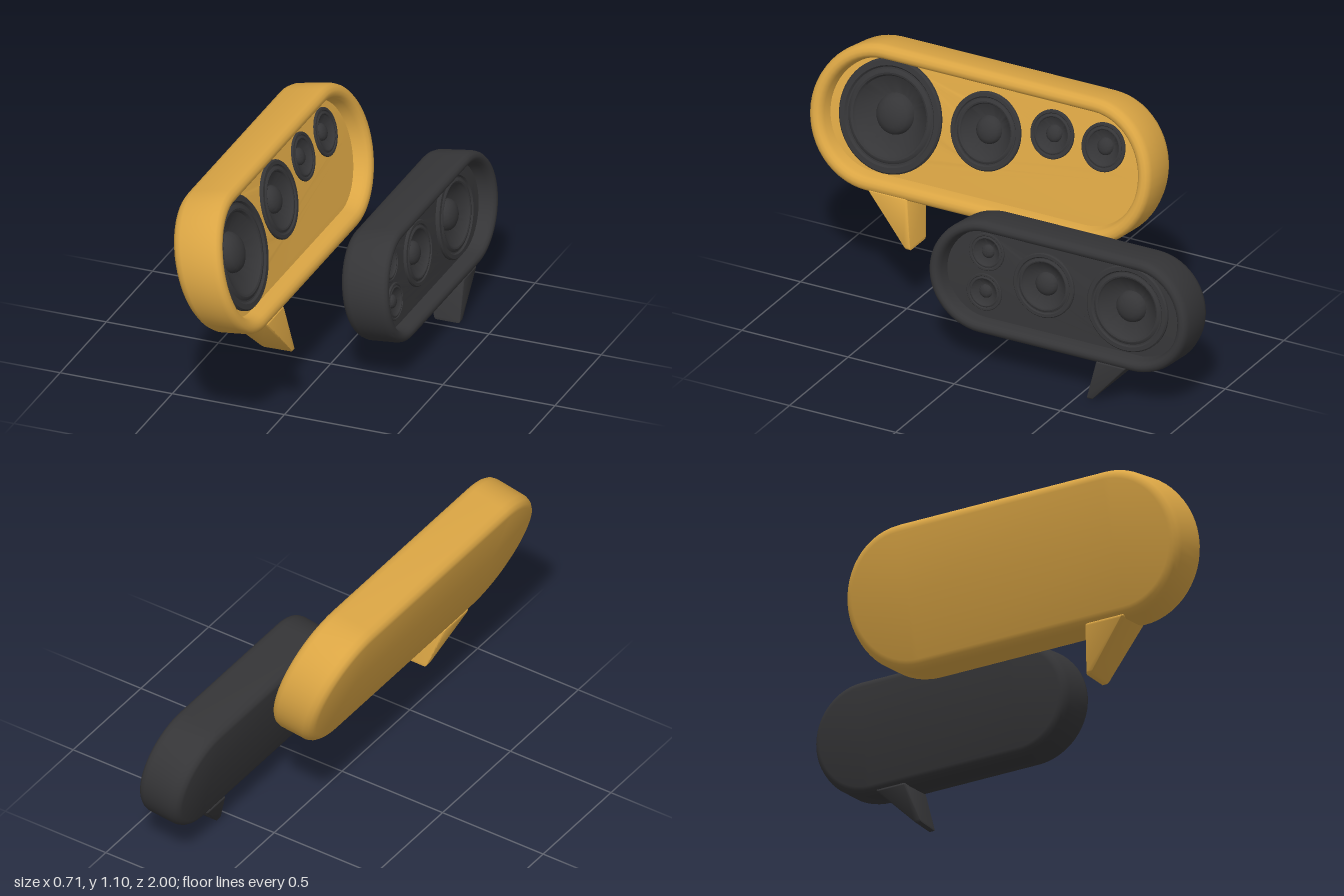
import * as THREE from 'three';
import { mergeVertices, toCreasedNormals } from 'three/addons/utils/BufferGeometryUtils.js';
import { RoundedBoxGeometry } from 'three/addons/geometries/RoundedBoxGeometry.js';

const DEPTH = 0.19;   // nominal cabinet depth before leaning
const PANEL = 0.64;   // panel position, as a share of the depth

const yellow = new THREE.MeshStandardMaterial({ color: 0xdaa544 });
yellow.name = 'mustard yellow';
const charcoal = new THREE.MeshStandardMaterial({ color: 0x353537 });
charcoal.name = 'charcoal';

const lerp = THREE.MathUtils.lerp;

// Moves every vertex by a rule, then rebuilds the normals
function reshape(geometry, rule, crease = 0.7) {
  geometry.deleteAttribute('normal');
  geometry.deleteAttribute('uv');
  const p = geometry.attributes.position;
  const v = new THREE.Vector3();
  for (let i = 0; i < p.count; i++) {
    rule(v.fromBufferAttribute(p, i));
    p.setXYZ(i, v.x, v.y, v.z);
  }
  return toCreasedNormals(mergeVertices(geometry, 1e-5), crease);
}

// Loops round a capsule outline, following a cross-section of [inset, depth share]
function capsuleLoft(profile, height, z0, z1) {
  const R = height / 2, half = 28, n = 2 * (half + 1);
  const pos = [], index = [];
  profile.forEach(([inset, s]) => {
    for (let j = 0; j < n; j++) {
      const second = j > half;
      const a = -Math.PI / 2 + Math.PI * (second ? j - 1 : j) / half;
      const r = R - inset;
      pos.push(s * DEPTH, R + r * Math.sin(a), (second ? z0 + R : z1 - R) + r * Math.cos(a));
    }
  });
  for (let i = 0; i < profile.length - 1; i++) {
    for (let j = 0; j < n; j++) {
      const k = (j + 1) % n;
      const a = i * n + j, b = a + n, c = i * n + k, d = c + n;
      index.push(a, b, c, b, d, c);
    }
  }
  const g = new THREE.BufferGeometry();
  g.setAttribute('position', new THREE.Float32BufferAttribute(pos, 3));
  g.setIndex(index);
  return g;
}

// Capsule panel with a round opening for each driver
function panelGeometry(height, z0, z1, inset, holes) {
  const R = height / 2, r = R - inset;
  const shape = new THREE.Shape();
  shape.absarc(-z0 - R, R, r, -Math.PI / 2, Math.PI / 2, false);
  shape.absarc(-z1 + R, R, r, Math.PI / 2, Math.PI * 1.5, false);
  for (const h of holes) {
    const hole = new THREE.Path();
    hole.absarc(-h.z, h.h, h.r * 0.92, 0, Math.PI * 2, true);
    shape.holes.push(hole);
  }
  return new THREE.ShapeGeometry(shape, 32).rotateY(Math.PI / 2).translate(PANEL * DEPTH, 0, 0);
}

// Driver section in units of its radius: frame, surround, cone, dust cap
const driverProfile = [
  [1, -0.05], [1, 0.03], [0.97, 0.06], [0.88, 0.06], [0.85, 0.025], [0.82, 0.025],
  [0.79, 0.05], [0.755, 0.058], [0.72, 0.045], [0.69, 0], [0.38, -0.16], [0.36, -0.16],
  [0.345, -0.1], [0.29, -0.035], [0.2, 0.01], [0.1, 0.032], [0, 0.04]
];

function driverGeometry({ z, h, r }) {
  const points = driverProfile.map(([x, y]) => new THREE.Vector2(x * r, y * r));
  return new THREE.LatheGeometry(points, 56)
    .rotateZ(-Math.PI / 2)
    .translate(PANEL * DEPTH + 0.002, h, z);
}

function buildSpeaker(o) {
  const group = new THREE.Group();
  group.name = o.name;
  const { backBottom: bb, frontBottom: bf, backTop: bt, frontTop: ft, height, z0, z1, k } = o;

  // Leans the cabinet back between its four section corners, with a slightly bowed front
  const at = (s, t, axis) => lerp(lerp(bb[axis], bf[axis], s), lerp(bt[axis], ft[axis], s), t);
  const lean = v => {
    const s = v.x / DEPTH, t = v.y / height;
    v.x = at(s, t, 0) + 0.04 * s * t * (1 - t);
    v.y = at(s, t, 1);
  };
  const add = (name, geometry, material) => {
    const mesh = new THREE.Mesh(geometry, material);
    mesh.name = name;
    group.add(mesh);
  };

  // Cabinet shell: flat back, rounded edges, raised rim and inner wall
  const shell = [
    [height / 2, 0], [0.04 * k, 0], [0.022 * k, 0.02], [0.008 * k, 0.09], [0, 0.2], [0, 0.84],
    [0.005 * k, 0.93], [0.015 * k, 0.98], [0.03 * k, 1], [0.045 * k, 0.985],
    [0.056 * k, 0.93], [0.062 * k, 0.85], [0.068 * k, PANEL - 0.01]
  ];
  add('cabinet', reshape(capsuleLoft(shell, height, z0, z1), lean), o.material);

  // Drivers are placed by their height above the floor
  const low = at(PANEL, 0, 1), high = at(PANEL, 1, 1);
  const drivers = o.drivers.map(([name, z, y, r]) =>
    ({ name, z, r, h: height * (y - low) / (high - low) }));
  add('frontPanel', reshape(panelGeometry(height, z0, z1, 0.066 * k, drivers), lean), o.material);
  for (const d of drivers) add(d.name, reshape(driverGeometry(d), lean, 0.55), charcoal);

  // Pointed tail under the cabinet
  const tail = v => {
    const s = v.x + 0.5, f = v.y + 0.5, w = v.z + 0.5;
    const topX = at(lerp(0.01, 0.98, s), 0.02, 0), topY = at(s, 0.02, 1);
    v.set(
      lerp(lerp(o.tipBack[0], o.tipFront[0], s), topX, f),
      lerp(lerp(o.tipBack[1], o.tipFront[1], s), topY, f),
      lerp(lerp(o.tipZ[0], o.tipZ[1], w), lerp(o.baseZ[0], o.baseZ[1], w), f));
  };
  add('tail', reshape(new RoundedBoxGeometry(1, 1, 1, 4, 0.06), tail), o.material);
  return group;
}

export function createModel() {
  const model = new THREE.Group();
  model.name = 'speechBubbleSpeakers';

  model.add(buildSpeaker({
    name: 'largeYellowSpeaker', material: yellow, height: 0.61, z0: -0.6, z1: 1, k: 1,
    backBottom: [-0.172, 0.475], frontBottom: [0.006, 0.495],
    backTop: [-0.366, 1.06], frontTop: [-0.152, 1.105],
    drivers: [
      ['woofer', 0.65, 0.795, 0.238], ['midrange', 0.207, 0.83, 0.163],
      ['tweeterOne', -0.096, 0.884, 0.101], ['tweeterTwo', -0.337, 0.884, 0.101]
    ],
    baseZ: [0.5, 0.69], tipZ: [0.465, 0.487],
    tipBack: [-0.102, 0.29], tipFront: [0.033, 0.292]
  }));

  model.add(buildSpeaker({
    name: 'smallCharcoalSpeaker', material: charcoal, height: 0.5, z0: -1, z1: 0.216, k: 0.82,
    backBottom: [0.181, 0.16], frontBottom: [0.358, 0.177],
    backTop: [0.092, 0.636], frontTop: [0.303, 0.67],
    drivers: [
      ['woofer', -0.69, 0.418, 0.19], ['midrange', -0.295, 0.427, 0.142],
      ['tweeterUpper', -0.018, 0.507, 0.082], ['tweeterLower', -0.02, 0.334, 0.082]
    ],
    baseZ: [-0.73, -0.585], tipZ: [-0.566, -0.54],
    tipBack: [0.24, 0.002], tipFront: [0.353, 0.002]
  }));

  return model;
}
